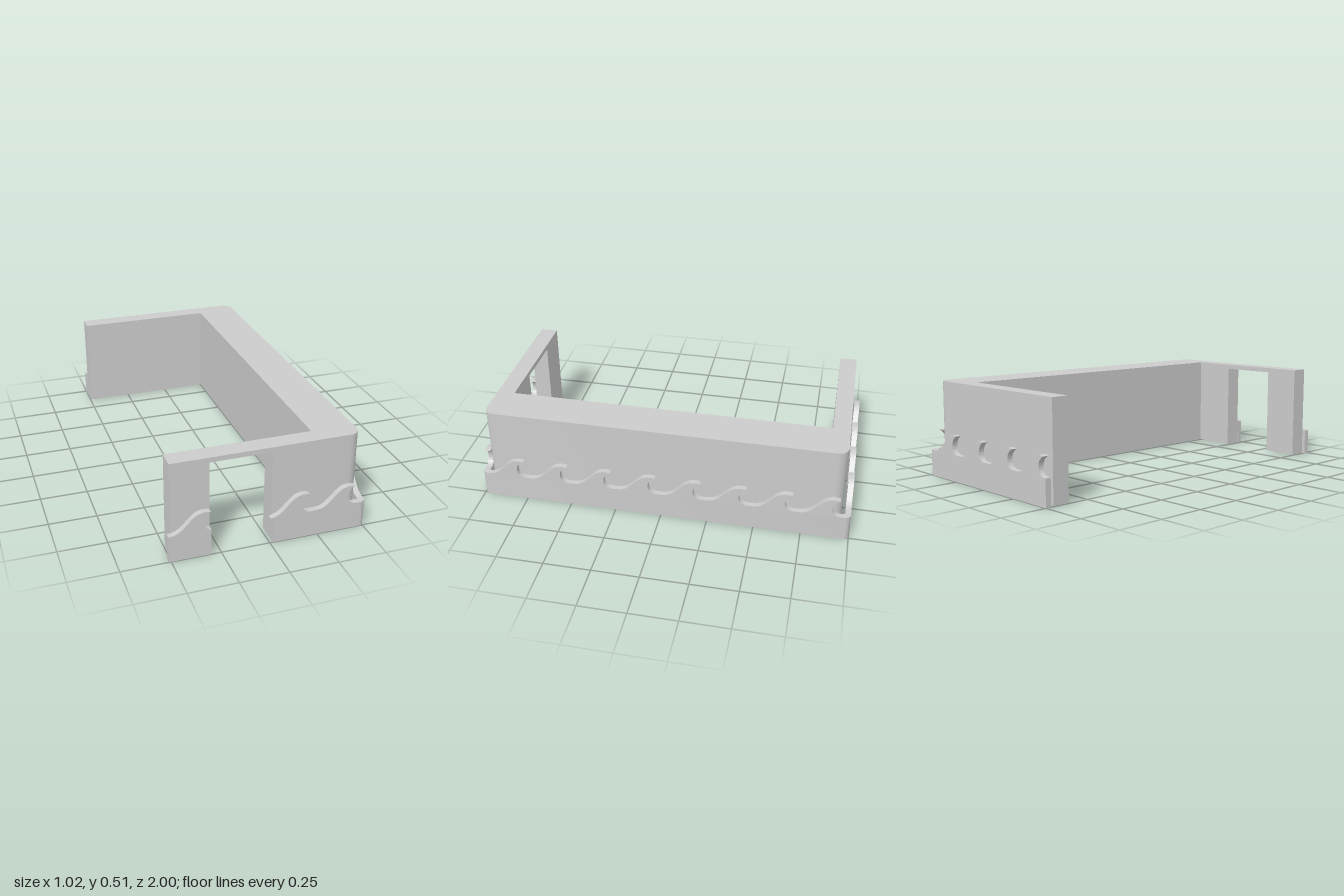
import * as THREE from 'three';
import { toCreasedNormals } from 'three/addons/utils/BufferGeometryUtils.js';

const material = new THREE.MeshStandardMaterial({ color: 0xcccccc });
const BASE = 0.14; // top of the plain trim band

function add(parent, name, geometry) {
  const mesh = new THREE.Mesh(geometry, material);
  mesh.name = name;
  parent.add(mesh);
  return mesh;
}

function box(parent, name, x0, x1, y0, y1, z0, z1) {
  const mesh = add(parent, name, new THREE.BoxGeometry(x1 - x0, y1 - y0, z1 - z0));
  mesh.position.set((x0 + x1) / 2, (y0 + y1) / 2, (z0 + z1) / 2);
}

// U-shaped floor plan, rounded at the two outer corners, raised from y0 to y1
function uPlan(o, y0, y1) {
  const s = new THREE.Shape(); // plan coordinates: x, -z
  s.moveTo(o.frontStart, -o.front);
  s.lineTo(o.right - o.r, -o.front);
  s.absarc(o.right - o.r, -o.front + o.r, o.r, -Math.PI / 2, 0, false);
  s.lineTo(o.right, -o.back - o.r);
  s.absarc(o.right - o.r, -o.back - o.r, o.r, 0, Math.PI / 2, false);
  s.lineTo(o.backStart, -o.back);
  s.lineTo(o.backStart, -o.innerBack);
  if (o.innerR) s.absarc(o.inner - o.innerR, -o.innerBack - o.innerR, o.innerR, Math.PI / 2, 0, true);
  else s.lineTo(o.inner, -o.innerBack);
  if (o.innerR) s.absarc(o.inner - o.innerR, -o.innerFront + o.innerR, o.innerR, 0, -Math.PI / 2, true);
  else s.lineTo(o.inner, -o.innerFront);
  s.lineTo(o.frontStart, -o.innerFront);
  s.closePath();
  const g = new THREE.ExtrudeGeometry(s, { depth: y1 - y0, bevelEnabled: false, curveSegments: 12 });
  g.rotateX(-Math.PI / 2).translate(0, y0, 0);
  return toCreasedNormals(g, 0.6);
}

// One curling wave, its tip at x = 0
function waveGeometry(depth) {
  const s = new THREE.Shape();
  s.moveTo(-0.2, BASE);
  s.bezierCurveTo(-0.155, BASE + 0.005, -0.135, 0.172, -0.112, 0.195);
  s.bezierCurveTo(-0.08, 0.23, -0.055, 0.252, 0, 0.24);
  s.bezierCurveTo(-0.026, 0.228, -0.038, 0.208, -0.038, 0.186);
  s.bezierCurveTo(-0.038, 0.162, -0.025, 0.143, 0.004, BASE);
  s.closePath();
  const g = new THREE.ExtrudeGeometry(s, { depth, bevelEnabled: false, curveSegments: 10 });
  return toCreasedNormals(g, 0.6);
}

export function createModel() {
  const model = new THREE.Group();
  model.name = 'counterSurround';

  // Thick walls, with a doorway in the front one
  const walls = new THREE.Group();
  walls.name = 'walls';
  model.add(walls);
  add(walls, 'mainWall', uPlan({
    frontStart: 0.015, backStart: -0.495, front: 0.965, back: -0.952,
    innerFront: 0.87, innerBack: -0.86, inner: 0.25, right: 0.473, r: 0.055,
  }, 0.003, 0.51));
  box(walls, 'doorPost', -0.495, -0.3, 0.003, 0.51, 0.87, 0.965);
  box(walls, 'doorLintel', -0.3, 0.015, 0.484, 0.51, 0.87, 0.965);

  // Plain lower band of the trim
  const trim = new THREE.Group();
  trim.name = 'waveTrim';
  model.add(trim);
  add(trim, 'trimBand', uPlan({
    frontStart: 0.015, backStart: -0.5, front: 1, back: -1,
    innerFront: 0.968, innerBack: -0.97, inner: 0.48, right: 0.51, r: 0.03, innerR: 0.012,
  }, 0, BASE));
  box(trim, 'postTrimBand', -0.512, -0.3, 0, BASE, 0.968, 1);

  // Rows of waves along the front, side and back
  const wave = waveGeometry(0.03);
  for (const x of [-0.304, 0.2, 0.443]) {
    add(trim, 'frontWave', wave).position.set(x, 0, 0.97);
  }
  for (let i = 0; i < 8; i++) {
    const m = add(trim, 'sideWave', wave);
    m.rotation.y = Math.PI / 2;
    m.position.set(0.48, 0, 0.758 - 0.2425 * i);
  }
  for (let i = 0; i < 4; i++) {
    const m = add(trim, 'backWave', wave);
    m.rotation.y = Math.PI;
    m.position.set(0.245 - 0.2435 * i, 0, -0.97);
  }
  return model;
}
